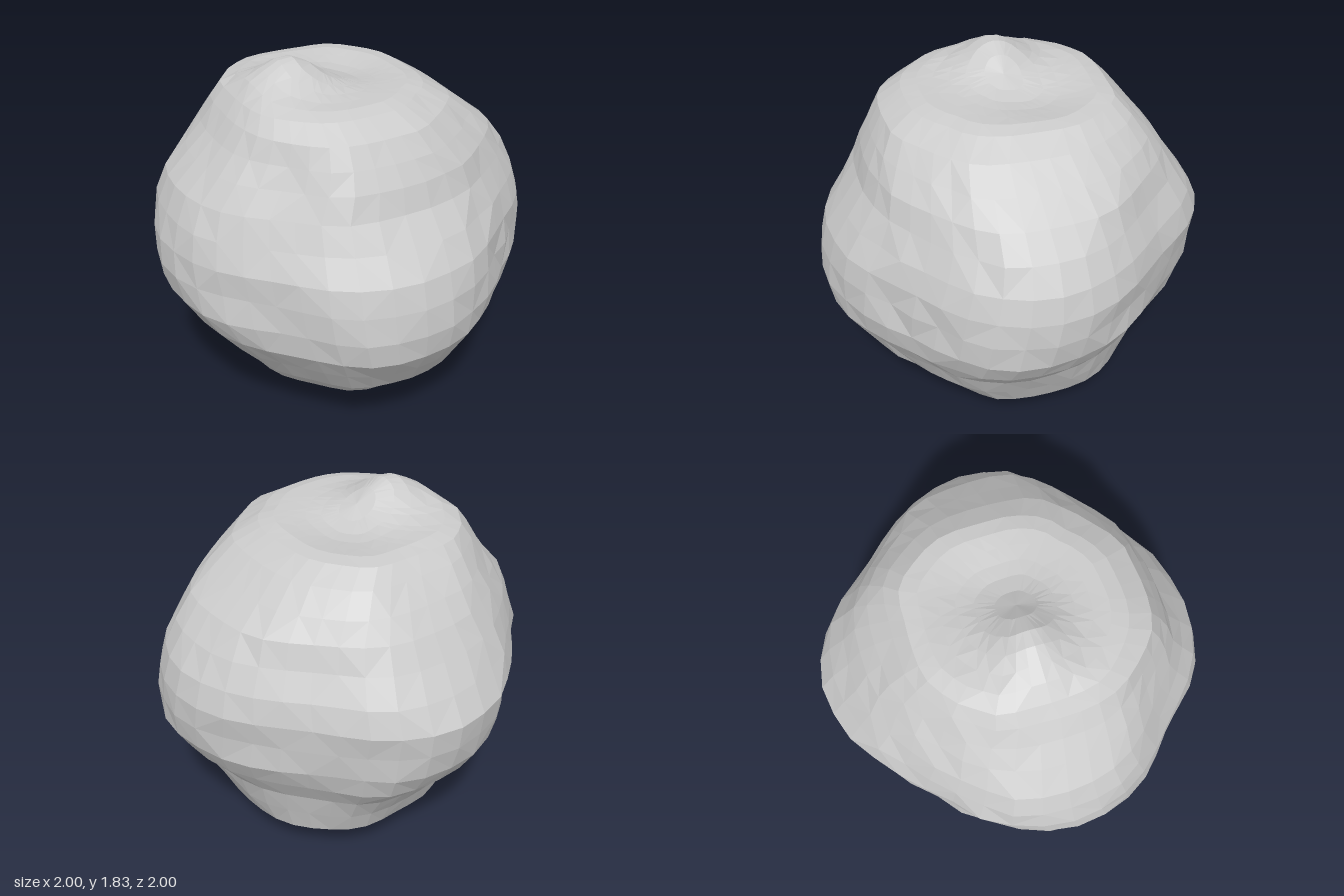
import * as THREE from 'three';

// Level outlines: height, x min, x max, z min, z max
const LEVELS = [
  [0.0, 0.16, 0.31, -0.06, 0.09],
  [0.04, 0.06, 0.40, -0.20, 0.20],
  [0.11, -0.28, 0.52, -0.38, 0.38],
  [0.22, -0.55, 0.66, -0.59, 0.64],
  [0.35, -0.64, 0.72, -0.65, 0.79],
  [0.49, -0.76, 0.79, -0.74, 0.89],
  [0.62, -0.88, 0.90, -0.87, 0.98],
  [0.75, -0.97, 0.98, -0.95, 1.0],
  [0.89, -1.0, 1.0, -0.99, 0.99],
  [1.02, -0.99, 0.99, -1.0, 0.95],
  [1.15, -0.95, 0.95, -0.92, 0.86],
  [1.28, -0.89, 0.87, -0.83, 0.77],
  [1.4, -0.78, 0.77, -0.75, 0.73],
  [1.5, -0.69, 0.64, -0.67, 0.68],
  [1.6, -0.62, 0.51, -0.58, 0.62],
  [1.67, -0.56, 0.39, -0.51, 0.50],
];
// Fullness of the diagonals by height: front left, front right, back right, back left
const CORNERS = [
  [0.3, 1.30, 1.41, 1.45, 1.46],
  [0.9, 1.26, 1.27, 1.24, 1.20],
  [1.3, 1.36, 1.37, 1.34, 1.30],
  [1.65, 1.40, 1.45, 1.52, 1.55],
];
const SEGMENTS = 40;

function fullness(y, quadrant) {
  const i = y < 0.9 ? 0 : y < 1.3 ? 1 : 2;
  const low = CORNERS[i], high = CORNERS[i + 1];
  const t = THREE.MathUtils.clamp((y - low[0]) / (high[0] - low[0]), 0, 1);
  return THREE.MathUtils.lerp(low[quadrant + 1], high[quadrant + 1], t);
}

// Uneven top: a small peak, a shallow dip beside it
function topHeight(x, z) {
  const hill = (cx, cz, sx, sz) => Math.exp(-(((x - cx) / sx) ** 2) - ((z - cz) / sz) ** 2);
  return 1.69 + 0.14 * hill(-0.28, 0, 0.2, 0.18) - 0.04 * hill(0.08, -0.12, 0.2, 0.24);
}

// Gentle repeatable surface roughness
function rough(x, y, z) {
  return 0.012 * Math.sin(7 * x + 4 * y + 1) * Math.sin(6 * z - 5 * y)
    + 0.008 * Math.sin(15 * x - 9 * z + 11 * y) + 0.007 * Math.sin(19 * y + 13 * z - 8 * x);
}

// Soft octagon: blunt ends on the axes, diagonals cut by the corner fullness
function outlinePoint([y, x0, x1, z0, z1], angle) {
  const c = Math.cos(angle), s = Math.sin(angle);
  const k = fullness(y, Math.floor(angle / (Math.PI / 2)) % 4), q = 12;
  const ac = Math.abs(c), as = Math.abs(s);
  const norm = (ac ** q + as ** q + ((ac + as) / k) ** q) / (1 + k ** -q);
  const r = norm ** (-1 / q) * (1 + rough(c, y, s) * (1 - 0.7 * Math.max(ac, as) ** 8));
  const w = (x1 - x0) / 2, d = (z1 - z0) / 2;
  // Front and back ends lean to opposite sides, both side ends lean forward
  const leanX = -0.06 * s ** 3 * d, leanZ = 0.04 * c ** 4 * w;
  return [(x0 + x1) / 2 + w * c * r + leanX, y, (z0 + z1) / 2 + d * s * r + leanZ];
}

function rockGeometry() {
  const positions = [], index = [];
  const rim = LEVELS[LEVELS.length - 1];
  const ring = (f) => {
    for (let i = 0; i < SEGMENTS; i++) positions.push(...f((i / SEGMENTS) * Math.PI * 2));
  };

  // Bottom centre, then the outlines from bottom to top
  positions.push(0.24, 0, 0.01);
  LEVELS.forEach((level) => ring((a) => outlinePoint(level, a)));

  // Top surface closes inward over the peak and dip
  const cx = (rim[1] + rim[2]) / 2;
  const shrink = [0.84, 0.68, 0.52, 0.36, 0.18];
  shrink.forEach((f) => ring((a) => {
    const [px, , pz] = outlinePoint(rim, a);
    const x = cx + (px - cx) * f, z = pz * f;
    return [x, topHeight(x, z), z];
  }));
  positions.push(cx, topHeight(cx, 0), 0);

  const rings = LEVELS.length + shrink.length;
  const at = (r, i) => 1 + r * SEGMENTS + (i % SEGMENTS);
  const last = 1 + rings * SEGMENTS;
  for (let i = 0; i < SEGMENTS; i++) {
    index.push(0, at(0, i), at(0, i + 1));
    for (let r = 0; r < rings - 1; r++) {
      const a = at(r, i), b = at(r, i + 1), c = at(r + 1, i + 1), d = at(r + 1, i);
      if ((i * 7 + r * 5) % 3) index.push(a, d, c, a, c, b);
      else index.push(a, d, b, b, d, c);
    }
    index.push(at(rings - 1, i), last, at(rings - 1, i + 1));
  }

  const geometry = new THREE.BufferGeometry();
  geometry.setAttribute('position', new THREE.Float32BufferAttribute(positions, 3));
  geometry.setIndex(index);
  geometry.computeVertexNormals();
  return geometry;
}

export function createModel() {
  const group = new THREE.Group();
  group.name = 'boulder';
  const material = new THREE.MeshStandardMaterial({ color: 0xcccccc, flatShading: true });
  const rock = new THREE.Mesh(rockGeometry(), material);
  rock.name = 'rock';
  group.add(rock);
  return group;
}
